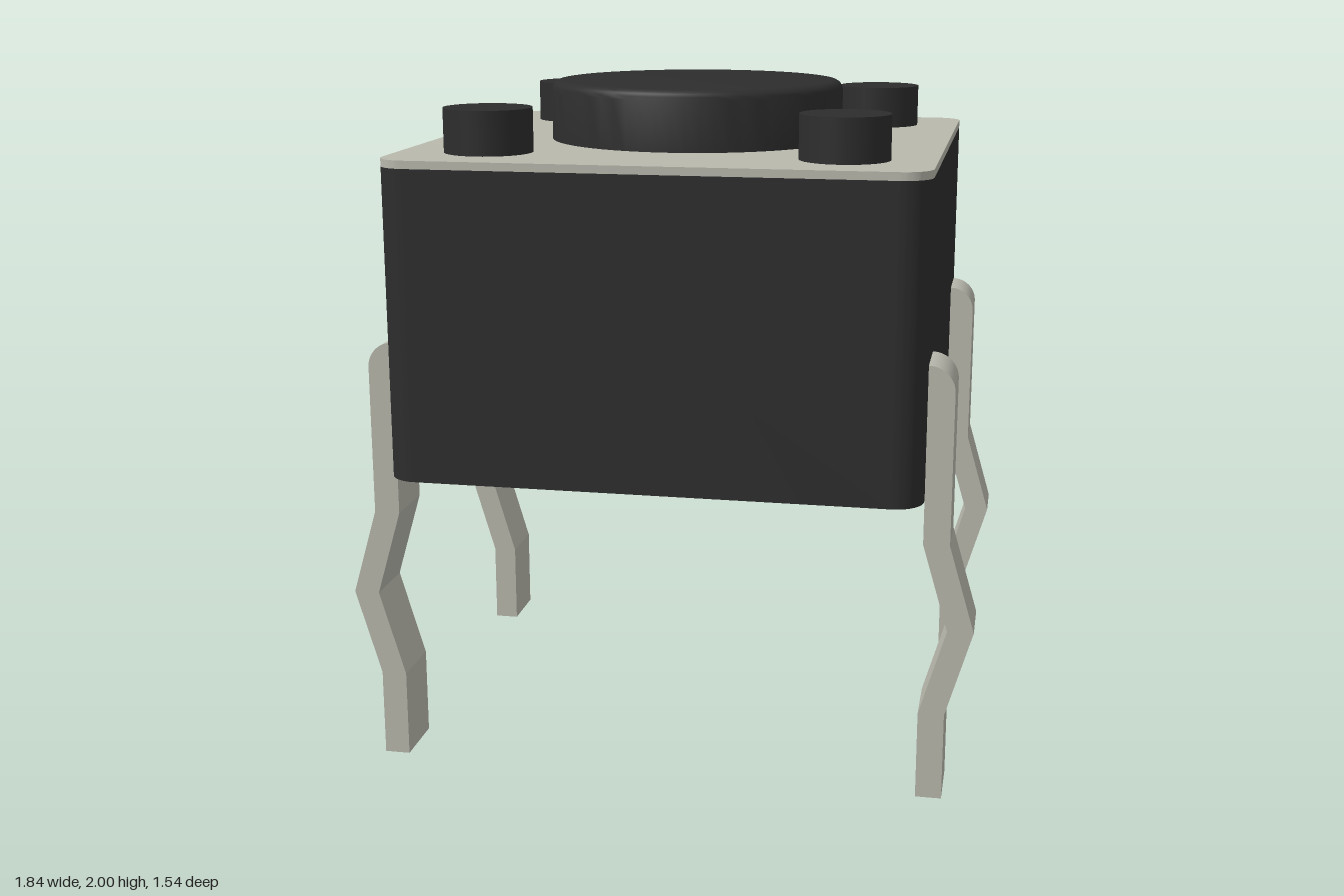
import * as THREE from 'three';
import { toCreasedNormals } from 'three/addons/utils/BufferGeometryUtils.js';

const plastic = new THREE.MeshStandardMaterial({ color: 0x2d2d2d });
plastic.name = 'black plastic';
const metal = new THREE.MeshStandardMaterial({ color: 0xb8b8ad });
metal.name = 'tinned metal';

function addMesh(parent, name, geometry, material) {
  const mesh = new THREE.Mesh(geometry, material);
  mesh.name = name;
  parent.add(mesh);
  return mesh;
}

// Square with rounded corners, extruded upwards from y0 to y1
function roundedSlab(half, radius, y0, y1) {
  const s = new THREE.Shape();
  const c = half - radius;
  s.absarc(c, c, radius, 0, Math.PI / 2);
  s.absarc(-c, c, radius, Math.PI / 2, Math.PI);
  s.absarc(-c, -c, radius, Math.PI, Math.PI * 1.5);
  s.absarc(c, -c, radius, Math.PI * 1.5, Math.PI * 2);
  const g = new THREE.ExtrudeGeometry(s, { depth: y1 - y0, bevelEnabled: false, curveSegments: 10 });
  g.rotateX(-Math.PI / 2).translate(0, y0, 0);
  return toCreasedNormals(g, 0.6);
}

// Kinked terminal strip, bent into the body at the top
function legGeometry() {
  const s = new THREE.Shape();
  s.moveTo(0.77, 0);
  s.lineTo(0.845, 0);
  s.lineTo(0.845, 0.26);
  s.lineTo(0.92, 0.515);
  s.lineTo(0.845, 0.77);
  s.lineTo(0.845, 1.21);
  s.absarc(0.77, 1.21, 0.075, 0, Math.PI / 2);
  s.lineTo(0.74, 1.285);
  s.lineTo(0.74, 1.21);
  s.lineTo(0.77, 1.21);
  s.lineTo(0.77, 0.77);
  s.lineTo(0.845, 0.515);
  s.lineTo(0.77, 0.26);
  const g = new THREE.ExtrudeGeometry(s, { depth: 0.18, bevelEnabled: false, curveSegments: 8 });
  g.translate(0, 0, -0.09);
  return toCreasedNormals(g, 0.25);
}

// Round button with a softly rounded rim
function buttonGeometry() {
  const r = 0.445, top = 2, rim = 0.03;
  const profile = [new THREE.Vector2(r, 1.8)];
  for (let i = 0; i <= 5; i++) {
    const a = (i / 5) * Math.PI / 2;
    profile.push(new THREE.Vector2(r - rim + rim * Math.cos(a), top - rim + rim * Math.sin(a)));
  }
  profile.push(new THREE.Vector2(0, top));
  return toCreasedNormals(new THREE.LatheGeometry(profile, 64), 0.6);
}

export function createModel() {
  const model = new THREE.Group();
  model.name = 'pushSwitch';

  addMesh(model, 'housing', roundedSlab(0.77, 0.085, 0.9, 1.8), plastic);
  addMesh(model, 'coverPlate', roundedSlab(0.77, 0.085, 1.8, 1.823), metal);
  addMesh(model, 'button', buttonGeometry(), plastic);

  // One rivet and one leg at each corner
  const rivet = new THREE.CylinderGeometry(0.128, 0.128, 0.14, 40);
  const leg = legGeometry();
  for (const sx of [-1, 1]) {
    for (const sz of [-1, 1]) {
      const side = (sz > 0 ? 'front' : 'back') + (sx > 0 ? 'Left' : 'Right');
      addMesh(model, side + 'Rivet', rivet, plastic).position.set(0.512 * sx, 1.88, 0.512 * sz);
      const pin = addMesh(model, side + 'Leg', leg, metal);
      pin.position.z = 0.58 * sz;
      if (sx < 0) pin.rotation.y = Math.PI;
    }
  }
  return model;
}
